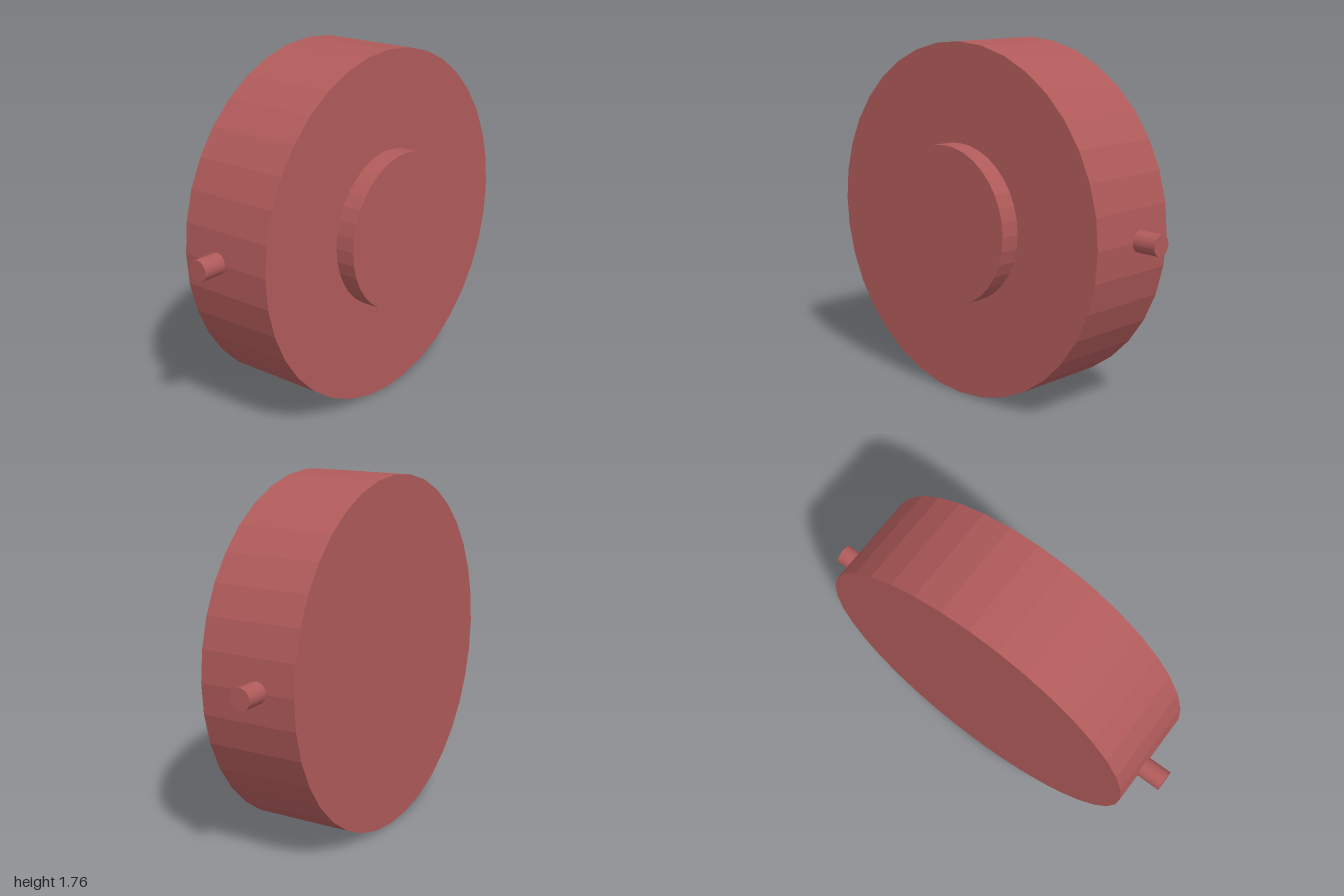
import * as THREE from 'three';

const SIDES = 36;
const CENTRE_Y = 0.88;

export function createModel() {
  const group = new THREE.Group();
  const dustyRed = new THREE.MeshStandardMaterial({ color: 0xb05a5a });
  dustyRed.name = 'dustyRed';
  dustyRed.flatShading = true;

  // A capped cylinder lying along the x or z axis, from one end to the other
  function addCylinder(name, axis, radius, from, to, offsetZ = 0) {
    const geometry = new THREE.CylinderGeometry(radius, radius, to - from, SIDES);
    const middle = (from + to) / 2;
    if (axis === 'z') {
      geometry.rotateX(Math.PI / 2);
      geometry.translate(0, CENTRE_Y, middle);
    } else {
      geometry.rotateZ(Math.PI / 2);
      geometry.translate(middle, CENTRE_Y, offsetZ);
    }
    const mesh = new THREE.Mesh(geometry, dustyRed);
    mesh.name = name;
    group.add(mesh);
  }

  // Main drum and raised hub on the front
  addCylinder('drum', 'z', 0.88, -0.3, 0.2);
  addCylinder('hub', 'z', 0.393, 0.2, 0.3);

  // Pivot pins on both sides
  addCylinder('leftPin', 'x', 0.052, 0.8, 1, -0.1);
  addCylinder('rightPin', 'x', 0.052, -1, -0.8, -0.1);

  return group;
}
